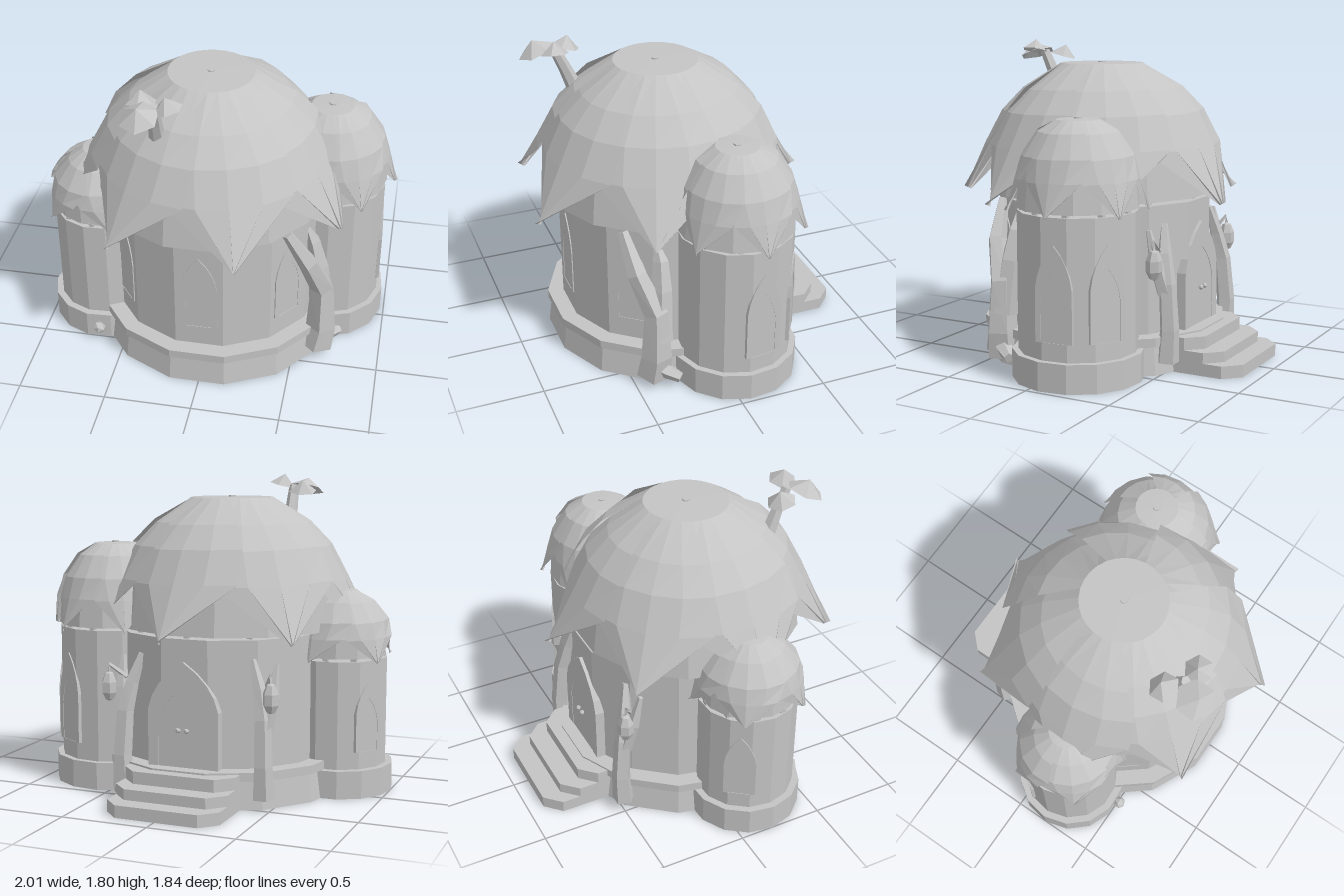
import * as THREE from 'three';

const stone = new THREE.MeshStandardMaterial({ color: 0xc4c4c4, side: THREE.DoubleSide });
stone.name = 'pale stone';
const V = (x, y, z) => new THREE.Vector3(x, y, z);
const deg = Math.PI / 180;

// faceted mesh with a name
function part(parent, name, geo, x = 0, y = 0, z = 0) {
  const g = geo.index ? geo.toNonIndexed() : geo;
  g.computeVertexNormals();
  const m = new THREE.Mesh(g, stone);
  m.name = name;
  m.position.set(x, y, z);
  parent.add(m);
  return m;
}

// surface through rows of points
function loft(rows) {
  const n = rows[0].length, index = [];
  for (let i = 0; i < rows.length - 1; i++)
    for (let j = 0; j < n - 1; j++) {
      const a = i * n + j, b = a + n;
      index.push(a, a + 1, b, a + 1, b + 1, b);
    }
  const g = new THREE.BufferGeometry().setFromPoints(rows.flat());
  g.setIndex(index);
  return g;
}

// turned shape with a flat side facing the given angle
function lathe(points, sides, turn = 0) {
  return new THREE.LatheGeometry(points.map(p => new THREE.Vector2(...p)), sides, Math.PI / sides + turn * deg);
}

// leaf shell: [radius, height, half angle] per row, drooping to a tip, one side lapping the next leaf
function petal(profile, az, tilt) {
  return loft(profile.map(([r, y, half], row) =>
    [-1, -0.5, 0, 0.5, 1].map(t => {
      const a = (az + t * half) * deg, lift = row < 2 ? 0 : t * tilt;
      return V(Math.sin(a) * (r + lift), y + lift * 0.5, Math.cos(a) * (r + lift));
    })));
}

// tapered branch: [x, y, z, radius] per joint
function limb(joints, sides = 6) {
  const pts = joints.map(j => V(j[0], j[1], j[2]));
  const rows = pts.map((p, i) => {
    const dir = pts[Math.min(i + 1, pts.length - 1)].clone().sub(pts[Math.max(i - 1, 0)]).normalize();
    const u = V(0.31, 0.1, 0.95).cross(dir).normalize(), w = dir.clone().cross(u);
    return Array.from({ length: sides + 1 }, (_, k) => {
      const a = k / sides * Math.PI * 2;
      return p.clone().addScaledVector(u, Math.cos(a) * joints[i][3]).addScaledVector(w, Math.sin(a) * joints[i][3]);
    });
  });
  const cap = (p) => Array.from({ length: sides + 1 }, () => p.clone());
  return loft([cap(pts[0]), ...rows, cap(pts[pts.length - 1])]);
}

// pointed arch outline
function arch(w, h, T = THREE.Shape) {
  const s = new T();
  s.moveTo(-w, 0);
  s.lineTo(w, 0);
  s.lineTo(w, h * 0.55);
  s.quadraticCurveTo(w * 0.85, h * 0.82, 0, h);
  s.quadraticCurveTo(-w * 0.85, h * 0.82, -w, h * 0.55);
  return s;
}

// framed arch standing on a wall
function opening(parent, name, az, r, y, w, h, depth = 0.02) {
  const g = new THREE.Group();
  g.name = name;
  const outer = arch(w, h);
  outer.holes.push(arch(w * 0.7, h * 0.76, THREE.Path));
  const opts = { depth, bevelEnabled: false, curveSegments: 4 };
  part(g, name + 'Frame', new THREE.ExtrudeGeometry(outer, opts), 0, 0, 0.006 - depth);
  part(g, name + 'Panel', new THREE.ShapeGeometry(arch(w * 0.8, h * 0.84), 4), 0, 0, 0.003);
  g.position.set(Math.sin(az * deg) * r, y, Math.cos(az * deg) * r);
  g.rotation.y = az * deg;
  parent.add(g);
  return g;
}

// round house: hollow footing, wall, leaf roof
function house(root, o) {
  const g = new THREE.Group();
  g.name = o.name;
  g.position.set(o.x, 0, o.z);
  root.add(g);
  part(g, 'footing', lathe(o.footing, 14, o.turn));
  part(g, 'floor', lathe([[0, 0.155], [o.r, 0.155]], 14, o.turn));
  part(g, 'wall', lathe([[o.r, 0.155], [o.r, o.top], [0, o.top]], 14, o.turn));
  const roof = new THREE.Group();
  roof.name = 'roof';
  roof.position.set(o.roofX, 0, o.roofZ);
  g.add(roof);
  part(roof, 'roofDome', lathe(o.dome, 14));
  for (let i = 0; i < o.petals; i++)
    part(roof, 'roofPetal', petal(o.leaf, o.tip + i * 360 / o.petals, o.tilt));
  part(roof, 'roofKnob', new THREE.CylinderGeometry(0.022, 0.025, 0.03, 8), 0, o.peak, 0);
  // pegs under the eaves
  for (let i = 0; i < 10; i++) {
    const a = i * 36 * deg;
    part(g, 'eavePeg', new THREE.BoxGeometry(0.03, 0.03, 0.03), Math.sin(a) * o.r * 0.9, o.top + 0.005, Math.cos(a) * o.r * 0.9);
  }
  return g;
}

export function createModel() {
  const root = new THREE.Group();
  root.name = 'leafRoofHouse';

  const main = house(root, {
    name: 'mainHouse', x: -0.01, z: 0.08, r: 0.622, top: 0.925, turn: 0, peak: 1.672,
    roofX: -0.03, roofZ: 0.04,
    footing: [[0.715, 0], [0.695, 0.16], [0.715, 0.16], [0.715, 0.21], [0.6, 0.21]],
    dome: [[0, 0.94], [0.662, 0.94], [0.63, 1.2], [0.54, 1.37], [0.42, 1.49], [0.2, 1.64], [0, 1.655]],
    petals: 7, tip: 18.5, tilt: 0.02,
    leaf: [[0.01, 1.68, 25.8], [0.24, 1.678, 25.8], [0.45, 1.535, 32], [0.575, 1.405, 34], [0.672, 1.22, 31], [0.83, 0.92, 0]],
  });
  for (const az of [0, -51.4, 51.4]) opening(main, 'window', az, 0.607, 0.34, 0.105, 0.48);
  const door = opening(main, 'door', 180, 0.62, 0.2, 0.21, 0.6, 0.1);
  for (const x of [-0.025, 0.025])
    part(door, 'doorKnob', new THREE.IcosahedronGeometry(0.016, 0), x, 0.22, 0.015);

  const tall = house(root, {
    name: 'tallTower', x: 0.615, z: -0.1, r: 0.331, top: 0.925, turn: -6, peak: 1.405,
    roofX: 0, roofZ: 0,
    footing: [[0.33, 0], [0.365, 0], [0.365, 0.16], [0.32, 0.16]],
    dome: [[0, 0.94], [0.335, 0.94], [0.32, 1.1], [0.275, 1.23], [0.18, 1.33], [0.08, 1.38], [0, 1.39]],
    petals: 6, tip: 94, tilt: 0.01,
    leaf: [[0.01, 1.413, 30], [0.12, 1.408, 30], [0.22, 1.345, 36], [0.305, 1.22, 38], [0.34, 1.1, 29], [0.388, 0.92, 0]],
  });
  for (const az of [96.9, 148.3]) opening(tall, 'window', az, 0.324, 0.26, 0.105, 0.52);

  const low = house(root, {
    name: 'lowTower', x: -0.68, z: 0.18, r: 0.283, top: 0.775, turn: 3, peak: 1.165,
    roofX: 0, roofZ: 0,
    footing: [[0.285, 0], [0.323, 0], [0.323, 0.16], [0.27, 0.16]],
    dome: [[0, 0.79], [0.275, 0.79], [0.268, 0.9], [0.235, 1.0], [0.16, 1.08], [0.07, 1.135], [0, 1.145]],
    petals: 5, tip: 22, tilt: 0.01,
    leaf: [[0.01, 1.17, 36], [0.1, 1.155, 36], [0.19, 1.095, 43], [0.275, 0.99, 45], [0.3, 0.9, 33], [0.33, 0.77, 0]],
  });
  opening(low, 'window', -125.6, 0.277, 0.26, 0.09, 0.4);

  // hollow back steps with clipped corners
  [[0.91, 0, 0.07], [0.8, 0.07, 0.13], [0.685, 0.13, 0.2]].forEach(([z, y0, y1]) => {
    const plan = [[-0.33, 0.42], [0.33, 0.42], [0.33, z - 0.09], [0.24, z], [-0.24, z], [-0.33, z - 0.09]];
    const ring = y => [...plan, plan[0]].map(([a, b]) => V(a, y, -b));
    part(root, 'stepRiser', loft([ring(y0), ring(y1)]), -0.01);
    const tread = new THREE.ShapeGeometry(new THREE.Shape(plan.map(p => new THREE.Vector2(...p))));
    part(root, 'stepTread', tread, -0.01, y1, 0).rotation.x = -Math.PI / 2;
  });

  // forked trunk at the front
  part(root, 'trunk', limb([[0.63, 0.06, 0.39, 0.1], [0.655, 0.2, 0.38, 0.09], [0.65, 0.48, 0.38, 0.07],
    [0.57, 0.7, 0.46, 0.055], [0.45, 0.91, 0.495, 0.03]], 5));
  part(root, 'trunkFork', limb([[0.655, 0.3, 0.36, 0.075], [0.62, 0.6, 0.335, 0.06], [0.58, 0.76, 0.325, 0.045], [0.54, 0.86, 0.335, 0.012]], 5));
  part(root, 'trunkRoot', limb([[0.64, 0.14, 0.4, 0.06], [0.7, 0.1, 0.33, 0.045], [0.75, 0.075, 0.27, 0.03]], 5));

  // branches and hanging lamps beside the door
  for (const s of [1, -1]) {
    const x = s > 0 ? 0.37 : -0.46, z = s > 0 ? 0 : 0.03;
    part(root, 'doorBranch', limb([[x, 0.07, -0.52 + z, 0.065], [x, 0.25, -0.53 + z, 0.055], [x - s * 0.01, 0.5, -0.51 + z, 0.05],
      [x - s * 0.04, 0.66, -0.48 + z, 0.04], [x - s * 0.09, 0.82, -0.45 + z, 0.02]], 5));
    part(root, 'doorBranchFork', limb([[x, 0.45, -0.5 + z, 0.045], [x + s * 0.03, 0.62, -0.46 + z, 0.04], [x + s * 0.04, 0.8, -0.42 + z, 0.015]], 5));
    const lx = s > 0 ? 0.47 : -0.5;
    part(root, 'lampArm', limb([[x, 0.68, -0.46 + z, 0.015], [lx, 0.75, -0.48, 0.012], [lx, 0.69, -0.485, 0.01]], 4));
    part(root, 'lamp', lathe([[0, 0.54], [0.025, 0.55], [0.045, 0.59], [0.045, 0.65], [0.025, 0.7], [0, 0.71]], 6), lx, 0, -0.485);
  }

  // sprout on the roof
  part(root, 'sproutStem', limb([[-0.255, 1.48, 0.53, 0.045], [-0.25, 1.6, 0.58, 0.037], [-0.245, 1.73, 0.64, 0.03]]));
  for (const [x, y, z, r, tilt] of [[-0.33, 1.735, 0.55, 0.085, -0.25], [-0.3, 1.745, 0.74, 0.11, 0.35], [-0.17, 1.77, 0.66, 0.08, 0]]) {
    part(root, 'sproutLeaf', new THREE.ConeGeometry(r, 0.07, 6, 1, true), x, y, z).rotation.set(tilt, 0, x > -0.2 ? 0.25 : 0.1);
  }

  // pebble on the low tower footing
  part(root, 'pebble', new THREE.IcosahedronGeometry(0.038, 0), -0.655, 0.085, 0.52);
  return root;
}
